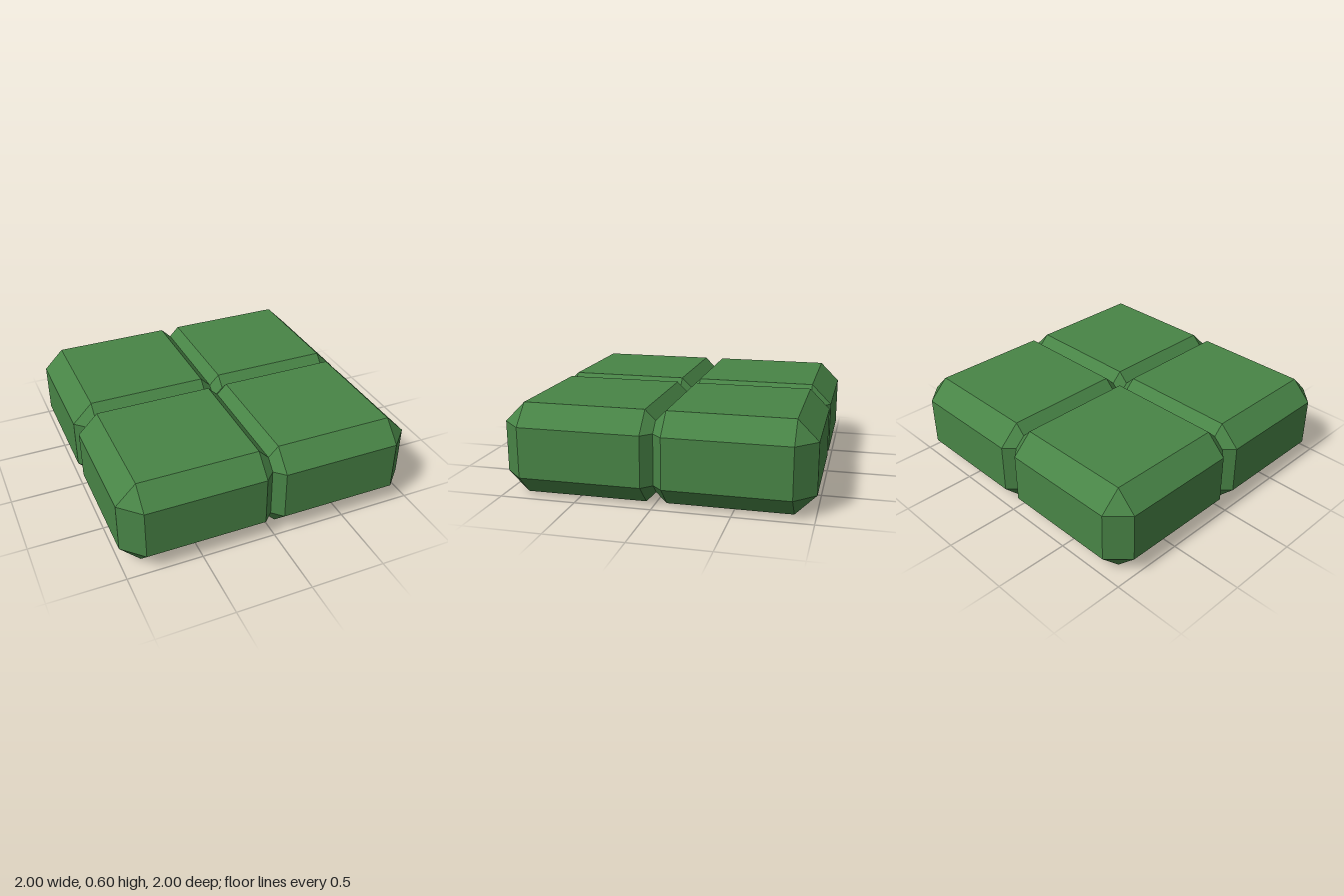
import * as THREE from 'three';
import { ConvexGeometry } from 'three/addons/geometries/ConvexGeometry.js';

// Box with every edge cut at 45 degrees and triangular corners
function chamferedBox(width, height, depth, cut) {
  const points = [];
  const [x, y, z] = [width / 2, height / 2, depth / 2];
  for (const sx of [-1, 1]) for (const sy of [-1, 1]) for (const sz of [-1, 1]) {
    points.push(
      new THREE.Vector3(sx * x, sy * (y - cut), sz * (z - cut)),
      new THREE.Vector3(sx * (x - cut), sy * y, sz * (z - cut)),
      new THREE.Vector3(sx * (x - cut), sy * (y - cut), sz * z)
    );
  }
  return new ConvexGeometry(points);
}

export function createModel() {
  const model = new THREE.Group();
  model.name = 'blockSlab';

  const green = new THREE.MeshStandardMaterial({ color: 0x488446 });
  green.name = 'leafGreen';

  const cut = 2 / 15;
  const size = 1 + cut / 2; // neighbours overlap by one cut, leaving V grooves
  const height = 0.6;
  const geometry = chamferedBox(size, height, size, cut);

  // Two by two grid of blocks
  for (const [sideX, nameX] of [[1, 'Left'], [-1, 'Right']]) {
    for (const [sideZ, nameZ] of [[1, 'front'], [-1, 'back']]) {
      const block = new THREE.Mesh(geometry, green);
      block.name = `${nameZ}${nameX}Block`;
      block.position.set(sideX * (1 - size / 2), height / 2, sideZ * (1 - size / 2));
      model.add(block);
    }
  }
  return model;
}
